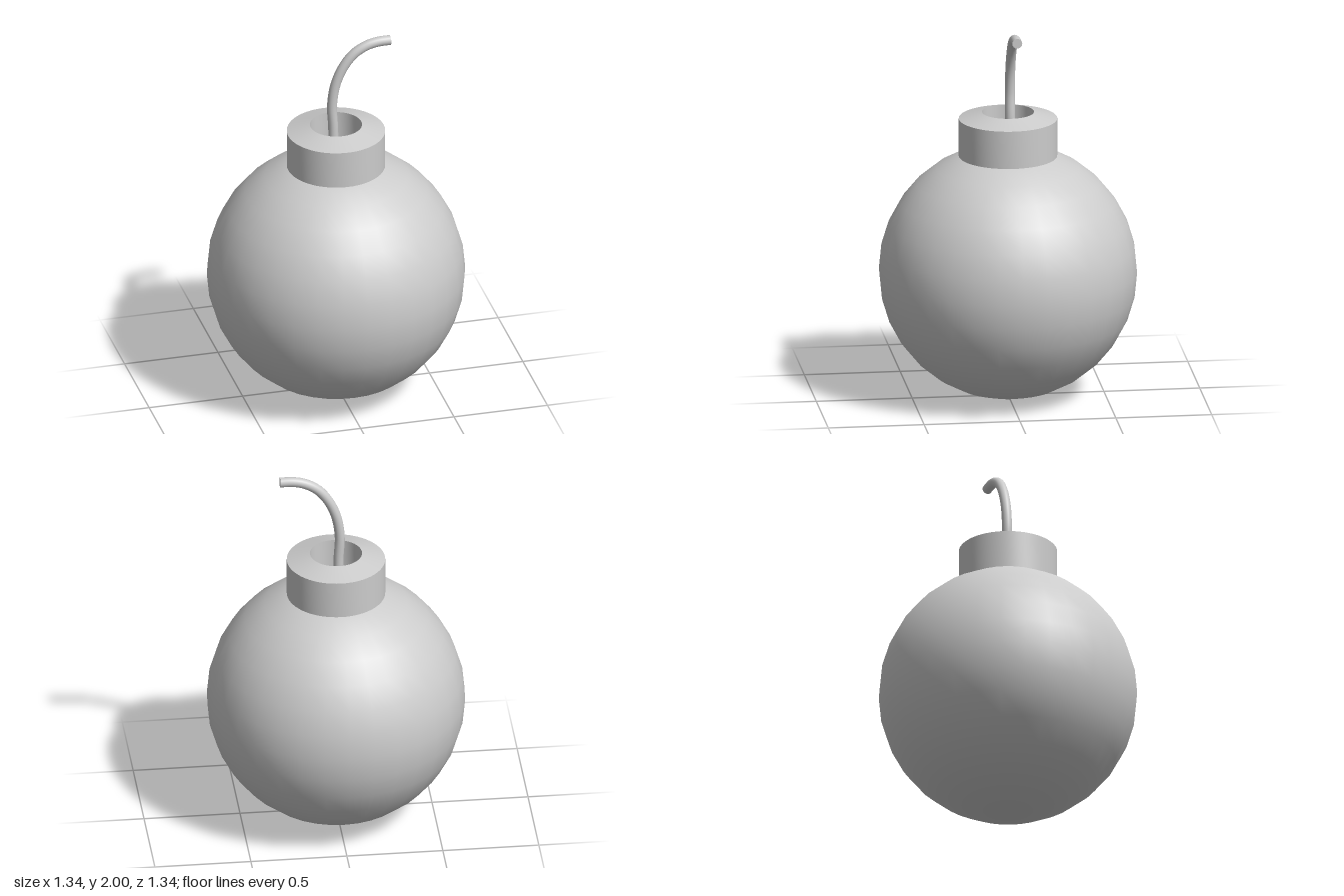
import * as THREE from 'three';
import { toCreasedNormals } from 'three/addons/utils/BufferGeometryUtils.js';

export function createModel() {
  const model = new THREE.Group();
  const material = new THREE.MeshStandardMaterial({ color: 0xcccccc });
  const add = (name, geometry) => {
    const mesh = new THREE.Mesh(geometry, material);
    mesh.name = name;
    model.add(mesh);
    return mesh;
  };

  // Round body
  add('body', new THREE.SphereGeometry(0.67, 32, 16)).position.y = 0.67;

  // Collar: straight wall, sloping top and open bore down to the body
  const profile = [[0.255, 1.27], [0.255, 1.49], [0.135, 1.525], [0.135, 1.3]]
    .map(([r, y]) => new THREE.Vector2(r, y));
  add('collar', toCreasedNormals(new THREE.LatheGeometry(profile, 64), 0.25));

  // Bent fuse rising out of the bore
  const path = new THREE.CatmullRomCurve3([
    [-0.01, 1.3], [-0.012, 1.5], [-0.018, 1.63], [0, 1.75], [0.043, 1.85],
    [0.1, 1.92], [0.17, 1.96], [0.23, 1.973], [0.293, 1.974],
  ].map(([x, y]) => new THREE.Vector3(x, y, -0.012)));
  add('fuse', new THREE.TubeGeometry(path, 40, 0.026, 16));

  // Flat end of the fuse
  const cap = add('fuseEnd', new THREE.CircleGeometry(0.026, 16));
  cap.position.copy(path.getPoint(1));
  cap.quaternion.setFromUnitVectors(new THREE.Vector3(0, 0, 1), path.getTangent(1));

  return model;
}
